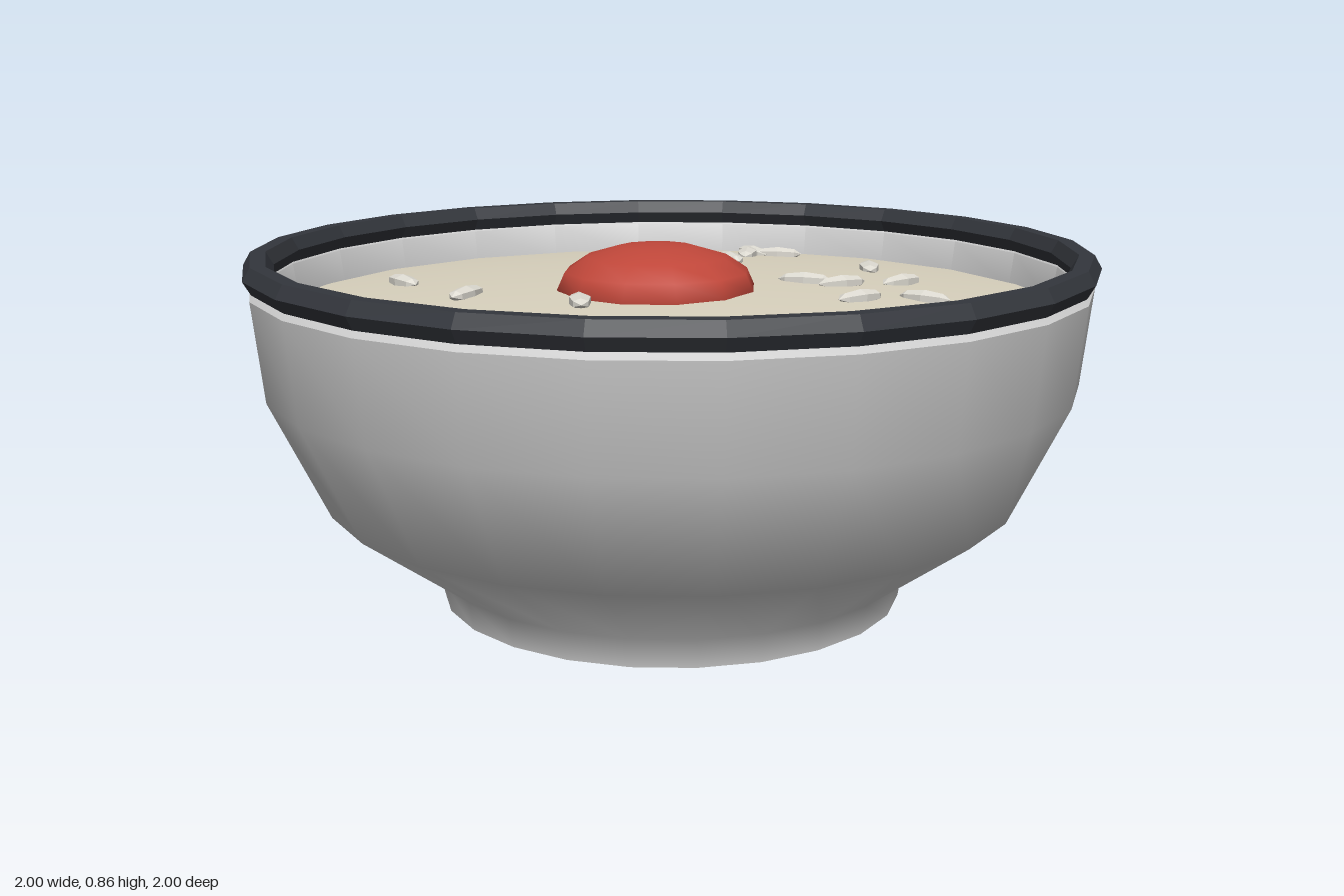
import * as THREE from 'three';
import { toCreasedNormals } from 'three/addons/utils/BufferGeometryUtils.js';

const material = (color, flatShading = false) => new THREE.MeshStandardMaterial({ color, flatShading });
const lathe = (profile, sides) =>
  new THREE.LatheGeometry(profile.map(([r, y]) => new THREE.Vector2(r, y)), sides);

// Height profile of the gently domed filling, from edge to centre
const DOME = [[0.935, 0.705], [0.75, 0.727], [0.5, 0.748], [0.25, 0.761], [0, 0.765]];

function domeHeight(r) {
  for (let i = 1; i < DOME.length; i++) {
    const [r0, y0] = DOME[i - 1], [r1, y1] = DOME[i];
    if (r >= r1) return y0 + (y1 - y0) * (r0 - r) / (r0 - r1);
  }
  return 0.765;
}

export function createModel() {
  const model = new THREE.Group();
  const add = (name, geometry, mat, parent = model) => {
    const mesh = new THREE.Mesh(geometry, mat);
    mesh.name = name;
    parent.add(mesh);
    return mesh;
  };

  // Bowl: foot recess, foot ring, outer wall, lip, inner wall and inner floor
  const bowl = lathe([
    [0, 0.055], [0.49, 0.055], [0.495, 0], [0.56, 0], [0.572, 0.07],
    [0.83, 0.26], [0.963, 0.54], [0.987, 0.77], [0.965, 0.79],
    [0.948, 0.78], [0.935, 0.69], [0.91, 0.54], [0.78, 0.3], [0.52, 0.13], [0, 0.11],
  ], 24);
  add('bowl', toCreasedNormals(bowl, 0.9), material(0xcccccc));

  // Dark hexagonal-section band around the lip
  const rim = new THREE.TorusGeometry(0.965, 0.035, 6, 24).rotateX(-Math.PI / 2);
  add('rim', rim, material(0x33363c, true)).position.y = 0.815;

  // Filling
  add('filling', lathe(DOME, 20), material(0xd8d1bd));

  // Red garnish half sunk into the filling
  const garnish = add('garnish', new THREE.SphereGeometry(0.235, 12, 8), material(0xc0473a));
  garnish.scale.y = 0.44;
  garnish.rotation.y = 0.1;
  garnish.position.set(-0.078, 0.761, 0.05);

  // Scattered seeds: x, z, heading in degrees
  const seeds = new THREE.Group();
  seeds.name = 'seeds';
  model.add(seeds);
  const seedGeometry = new THREE.SphereGeometry(1, 6, 4).rotateZ(Math.PI / 2).scale(0.065, 0.018, 0.028);
  const seedMaterial = material(0xdcd9d0, true);
  [
    [-0.46, -0.49, 90], [-0.465, -0.165, 30], [-0.33, 0.11, 60], [0.22, -0.27, 42],
    [0.3, -0.22, -65], [0.36, -0.235, 75], [0.51, -0.35, 45], [0.57, -0.4, 85],
    [0.6, -0.33, -45], [0.6, 0.04, 50], [0.265, 0.18, -50], [0.325, 0.245, -10],
    [0.5, 0.265, 5], [0.235, 0.41, 0], [0.39, 0.46, -70], [-0.14, 0.605, 30],
  ].forEach(([x, z, heading]) => {
    const seed = add('seed', seedGeometry, seedMaterial, seeds);
    seed.position.set(x, domeHeight(Math.hypot(x, z)) + 0.006, z);
    seed.rotation.y = THREE.MathUtils.degToRad(heading);
  });

  return model;
}
